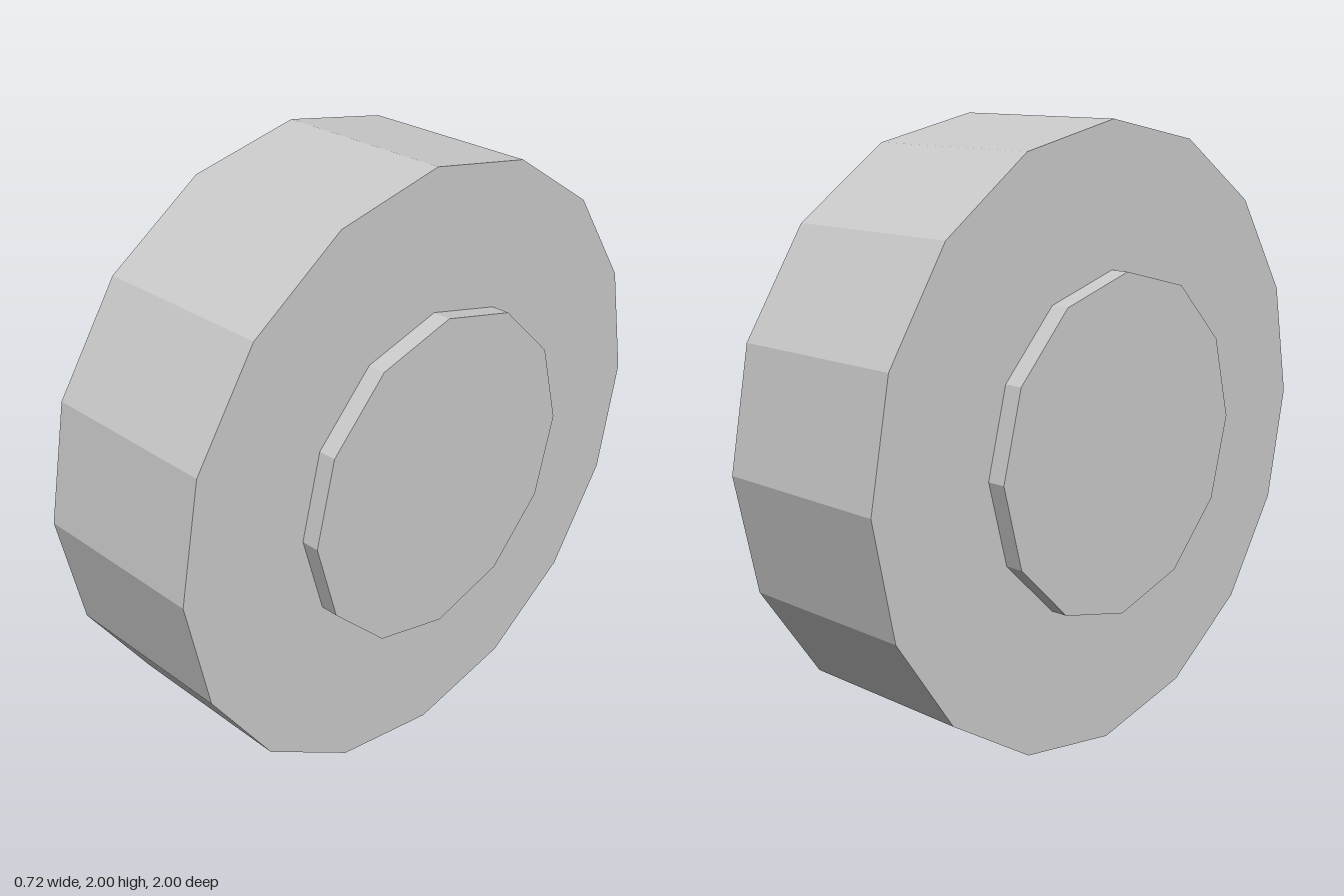
import * as THREE from 'three';

export function createModel() {
  const group = new THREE.Group();
  group.name = 'wheel';

  const grey = new THREE.MeshStandardMaterial({ color: 0xcccccc, flatShading: true });
  grey.name = 'light grey';

  // Faceted disc with its axle along x, centred one unit above the ground
  function addDisc(name, radius, width, sides, x = 0) {
    const geometry = new THREE.CylinderGeometry(radius, radius, width, sides);
    geometry.rotateZ(Math.PI / 2);
    const mesh = new THREE.Mesh(geometry, grey);
    mesh.name = name;
    mesh.position.set(x, 1, 0);
    group.add(mesh);
  }

  // Tyre
  addDisc('tyre', 1, 0.6, 16);

  // Hub running through the tyre, standing proud on both sides
  addDisc('hub', 0.55, 0.72, 12);

  return group;
}
